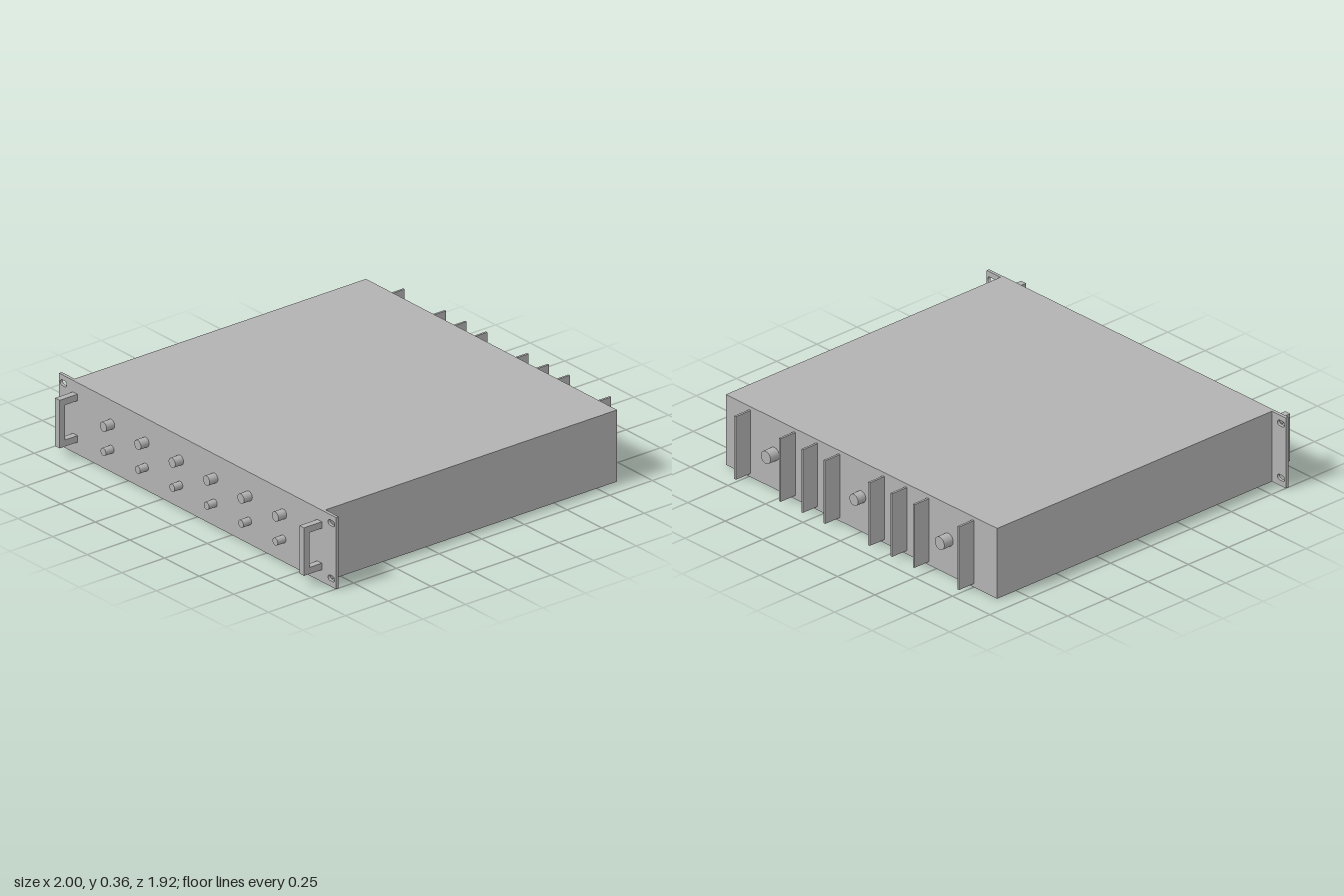
import * as THREE from 'three';

const grey = new THREE.MeshStandardMaterial({ color: 0xb2b2b2 });
grey.name = 'plain grey';

const HEIGHT = 0.36, FRONT = 0.855, SEAT = 0.839, BACK = -0.868;

export function createModel() {
  const model = new THREE.Group();
  model.name = 'rackUnit';

  const add = (name, geometry, x, y, z, parent = model) => {
    const mesh = new THREE.Mesh(geometry, grey);
    mesh.name = name;
    mesh.position.set(x, y, z);
    parent.add(mesh);
    return mesh;
  };
  const box = (name, w, h, d, x, y, z, parent) =>
    add(name, new THREE.BoxGeometry(w, h, d), x, y, z, parent);
  // Round stub along z, from z0 to z1
  const stub = (name, r, x, y, z0, z1) =>
    add(name, new THREE.CylinderGeometry(r, r, z1 - z0, 32).rotateX(Math.PI / 2), x, y, (z0 + z1) / 2);

  // Chassis
  box('chassis', 1.814, HEIGHT, SEAT - BACK, 0, HEIGHT / 2, (SEAT + BACK) / 2);

  // Front panel with four rounded mounting slots
  const panel = new THREE.Shape();
  panel.moveTo(-1, 0);
  panel.lineTo(1, 0);
  panel.lineTo(1, HEIGHT);
  panel.lineTo(-1, HEIGHT);
  panel.closePath();
  const slotRadius = 0.014, slotHalf = 0.01;
  for (const x of [-0.968, 0.968]) {
    for (const y of [0.042, 0.32]) {
      const slot = new THREE.Path();
      slot.absarc(x + slotHalf, y, slotRadius, -Math.PI / 2, Math.PI / 2, false);
      slot.absarc(x - slotHalf, y, slotRadius, Math.PI / 2, Math.PI * 1.5, false);
      slot.closePath();
      panel.holes.push(slot);
    }
  }
  add('frontPanel', new THREE.ExtrudeGeometry(panel, {
    depth: FRONT - SEAT, bevelEnabled: false, curveSegments: 12,
  }), 0, 0, SEAT);

  // Square-section handles
  const bar = 0.033, low = 0.061, high = 0.302, tip = 0.96;
  for (const side of [-1, 1]) {
    const handle = new THREE.Group();
    handle.name = side < 0 ? 'rightHandle' : 'leftHandle';
    const x = side * 0.883;
    box('grip', bar, high - low, bar, x, (low + high) / 2, tip - bar / 2, handle);
    const arm = tip - bar - FRONT;
    for (const y of [low + bar / 2, high - bar / 2]) {
      box('handleArm', bar, bar, arm, x, y, FRONT + arm / 2, handle);
    }
    model.add(handle);
  }

  // Two rows of front knobs
  for (let i = 0; i < 6; i++) {
    const x = (i - 2.5) * 0.2485;
    stub('upperKnob', 0.024, x, 0.241, FRONT, 0.903);
    stub('lowerKnob', 0.019, x, 0.115, FRONT, 0.903);
  }

  // Rear cooling fins and connectors
  for (const side of [-1, 1]) {
    for (const x of [0.149, 0.298, 0.447, 0.746]) {
      box('rearFin', 0.011, 0.323, 0.092, side * x, 0.18, BACK - 0.046);
    }
    stub('outerConnector', 0.032, side * 0.581, 0.18, BACK - 0.055, BACK);
  }
  stub('centreConnector', 0.029, 0, 0.18, BACK - 0.048, BACK);

  return model;
}
